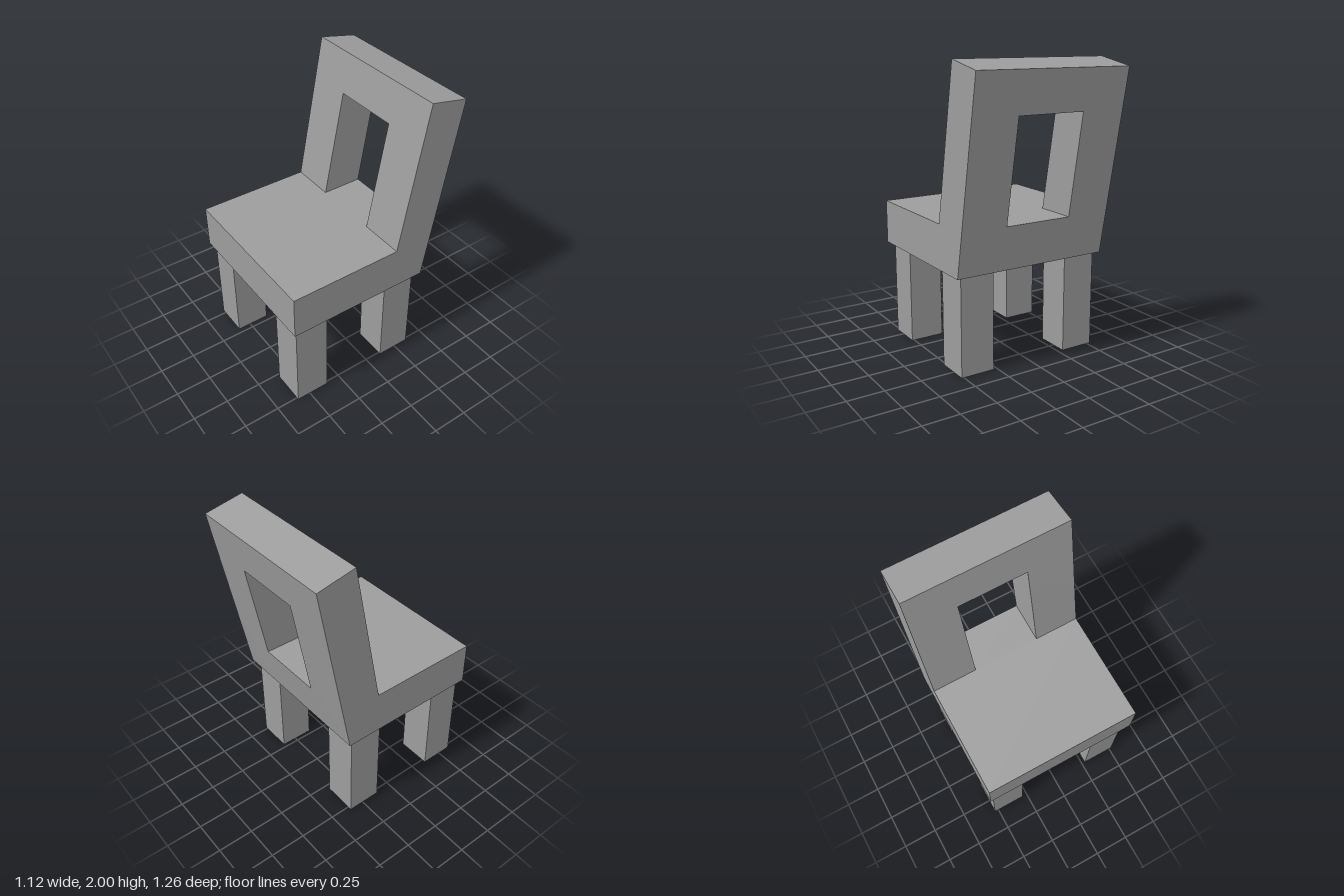
import * as THREE from 'three';
import { toCreasedNormals } from 'three/addons/utils/BufferGeometryUtils.js';

const material = new THREE.MeshStandardMaterial({ color: 0x9d9d9d, side: THREE.DoubleSide });

// Mesh of quads, corners counter-clockwise from outside, smooth only across shallow bends
function quadMesh(name, quads) {
  const points = quads.flatMap(([a, b, c, d]) => [a, b, c, a, c, d]);
  const geometry = new THREE.BufferGeometry();
  geometry.setAttribute('position', new THREE.Float32BufferAttribute(points.flat(), 3));
  const mesh = new THREE.Mesh(toCreasedNormals(geometry, 0.5), material);
  mesh.name = name;
  return mesh;
}

// Four-corner loop made of two horizontal edges, each given as [y, z]
function loop(halfWidth, [y0, z0], [y1, z1]) {
  return [[-halfWidth, y0, z0], [halfWidth, y0, z0], [halfWidth, y1, z1], [-halfWidth, y1, z1]];
}

// Quads joining two loops along the listed edges
function band(a, b, edges = [0, 1, 2, 3]) {
  return edges.map(i => {
    const j = (i + 1) % 4;
    return [a[i], a[j], b[j], b[i]];
  });
}

export function createModel() {
  const group = new THREE.Group();
  group.name = 'chair';

  // Seat: slab shell, hollow underneath
  const lower = loop(0.559, [0.676, 0.63], [0.676, -0.395]);
  const upper = loop(0.559, [0.98, 0.63], [0.98, -0.165]);
  group.add(quadMesh('seat', [...band(lower, upper, [0, 1, 3]), upper]));

  // Backrest: leaning frame with a rectangular opening
  const frontOuter = loop(0.559, [0.98, -0.165], [2, -0.36]);
  const frontHole = loop(0.239, [0.98, -0.165], [1.73, -0.308]);
  const backHole = loop(0.239, [0.98, -0.456], [1.673, -0.581]);
  const backOuter = loop(0.559, [0.676, -0.395], [1.945, -0.63]);
  group.add(quadMesh('backrest', [
    ...band(frontOuter, frontHole, [1, 2, 3]),
    ...band(frontHole, backHole),
    ...band(backHole, backOuter),
    ...band(backOuter, frontOuter, [1, 2, 3]),
  ]));

  // Legs: square tubes, open at the ends
  const tube = new THREE.CylinderGeometry(0.12 * Math.SQRT2, 0.12 * Math.SQRT2, 0.676, 4, 1, true);
  const legGeometry = toCreasedNormals(tube.rotateY(Math.PI / 4), 0.5);
  for (const [end, z] of [['front', 0.475], ['back', -0.237]]) {
    for (const [side, x] of [['Left', 0.396], ['Right', -0.408]]) {
      const leg = new THREE.Mesh(legGeometry, material);
      leg.name = `${end}${side}Leg`;
      leg.position.set(x, 0.338, z);
      group.add(leg);
    }
  }
  return group;
}
